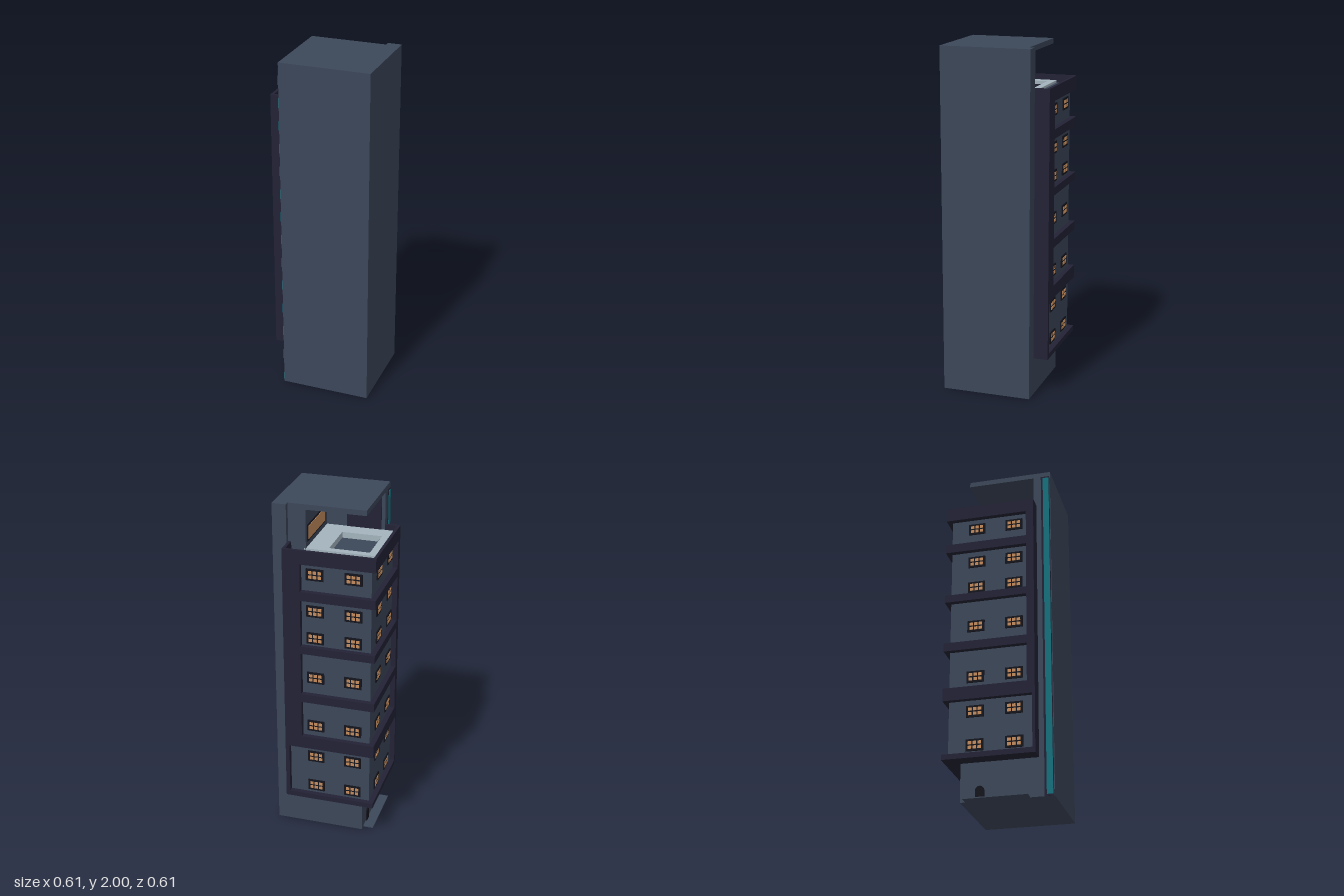
import * as THREE from 'three';

function mat(name, color) {
  const m = new THREE.MeshStandardMaterial({ color });
  m.name = name;
  return m;
}

export function createModel() {
  const slate = mat('slate wall', 0x3c4759);
  const navy = mat('dark trim', 0x222235);
  const black = mat('window frame black', 0x14141d);
  const amber = mat('amber glass', 0xc48c5c);
  const pale = mat('pale terrace', 0xa3b3bd);
  const teal = mat('teal glass', 0x17707c);

  const model = new THREE.Group();
  model.name = 'tower';

  // Box given by its minimum and maximum corners
  function box(name, m, x0, x1, y0, y1, z0, z1, parent = model) {
    const mesh = new THREE.Mesh(new THREE.BoxGeometry(x1 - x0, y1 - y0, z1 - z0), m);
    mesh.position.set((x0 + x1) / 2, (y0 + y1) / 2, (z0 + z1) / 2);
    mesh.name = name;
    parent.add(mesh);
    return mesh;
  }

  // Main shaft and the recessed facade wrapped round its back corner
  box('mainShaft', slate, -0.22, 0.30, 0, 1.71, -0.22, 0.30);
  box('facadeBack', slate, -0.275, 0.21, 0.23, 1.71, -0.275, -0.2);
  box('facadeSide', slate, -0.275, -0.2, 0.23, 1.71, -0.275, 0.205);

  // Ledges: each runs along the back and the side
  const E = -0.305;
  const ledges = [[0.22, 0.25], [0.56, 0.635], [0.86, 0.91], [1.165, 1.21], [1.487, 1.54], [1.70, 1.73]];
  for (const [y0, y1] of ledges) {
    box('ledgeBack', navy, E, 0.218, y0, y1, E, -0.215);
    box('ledgeSide', navy, E, -0.215, y0, y1, -0.22, 0.215);
  }

  // Piers at both ends of the facade, thinner on the lowest storeys
  box('pierBack', navy, 0.12, 0.22, 0.6, 1.728, E, -0.215);
  box('pierBackLow', navy, 0.197, 0.22, 0.22, 0.6, E, -0.215);
  box('pierSide', navy, E, -0.215, 0.6, 1.728, 0.172, 0.216);
  box('pierSideLow', navy, E, -0.215, 0.22, 0.6, 0.2, 0.216);

  // Terrace edge strip and parapet
  box('terraceStrip', slate, -0.29, 0.205, 1.71, 1.735, -0.29, -0.19);
  box('parapetBack', navy, E, 0.22, 1.72, 1.78, E, -0.288);
  box('parapetSide', navy, E, -0.288, 1.72, 1.78, -0.288, 0.216);
  box('parapetEndBack', navy, 0.203, 0.22, 1.72, 1.78, -0.288, -0.19);
  box('parapetEndSide', navy, -0.288, -0.22, 1.72, 1.78, 0.199, 0.216);

  // Pale terrace floor with a square sunken pit
  const floor = new THREE.Shape();
  floor.moveTo(-0.29, -0.2).lineTo(0.13, -0.2).lineTo(0.13, 0.19).lineTo(-0.29, 0.19).closePath();
  const pit = new THREE.Path();
  pit.moveTo(-0.228, -0.10).lineTo(-0.228, 0.15).lineTo(0.0, 0.15).lineTo(0.0, -0.10).closePath();
  floor.holes.push(pit);
  const floorGeo = new THREE.ExtrudeGeometry(floor, { depth: 0.035, bevelEnabled: false });
  floorGeo.rotateX(-Math.PI / 2);
  const terrace = new THREE.Mesh(floorGeo, pale);
  terrace.position.y = 1.714;
  terrace.name = 'terraceFloor';
  model.add(terrace);
  box('pitFloor', slate, -0.235, 0.01, 1.70, 1.715, -0.155, 0.105);

  // Open top storey: two walls and the roof slab
  box('topWallRight', slate, 0.12, 0.22, 1.71, 1.97, -0.19, 0.30);
  box('topWallOuter', slate, 0.22, 0.30, 1.71, 2, -0.22, 0.30);
  box('topWallFront', slate, -0.22, 0.12, 1.71, 1.97, 0.2, 0.30);
  box('roof', slate, -0.22, 0.22, 1.97, 2, -0.19, 0.30);
  box('terraceWindowFrame', black, 0.116, 0.12, 1.78, 1.875, -0.165, 0.15);
  box('terraceWindow', amber, 0.113, 0.117, 1.79, 1.865, -0.155, 0.14);
  box('terraceDoor', navy, -0.2, 0.0, 1.75, 1.94, 0.195, 0.2);

  // Tall glazed strip beside the facade
  box('glassStripFrame', navy, -0.223, -0.22, 0.0, 1.97, 0.245, 0.296);
  box('glassStrip', teal, -0.226, -0.222, 0.01, 1.96, 0.257, 0.292);

  // Windows: black frame with six amber panes, facing local +z
  function makeWindow(x, y, z, turn) {
    const g = new THREE.Group();
    g.name = 'window';
    box('windowFrame', black, -0.05, 0.05, -0.034, 0.034, 0, 0.006, g);
    for (const cx of [-0.027, 0, 0.027]) {
      for (const cy of [-0.013, 0.013]) {
        box('pane', amber, cx - 0.01, cx + 0.01, cy - 0.009, cy + 0.009, 0.004, 0.008, g);
      }
    }
    g.position.set(x, y, z);
    g.rotation.y = turn;
    model.add(g);
  }
  for (const y of [0.30, 0.495, 0.70, 1.01, 1.257, 1.42, 1.637]) {
    for (const x of [0.043, -0.175]) makeWindow(x, y, -0.275, Math.PI);
    for (const z of [-0.126, 0.094]) makeWindow(-0.275, y, z, -Math.PI / 2);
  }

  // Entrance: arched door and low step
  const arch = new THREE.Shape();
  arch.moveTo(-0.025, 0).lineTo(0.025, 0).lineTo(0.025, 0.055);
  arch.absarc(0, 0.055, 0.025, 0, Math.PI, false);
  const door = new THREE.Mesh(new THREE.ExtrudeGeometry(arch, { depth: 0.007, bevelEnabled: false }), black);
  door.position.set(-0.22, 0.005, -0.11);
  door.rotation.y = -Math.PI / 2;
  door.name = 'entranceDoor';
  model.add(door);
  box('entranceStep', slate, -0.28, -0.22, 0, 0.006, -0.19, 0.165);

  return model;
}
